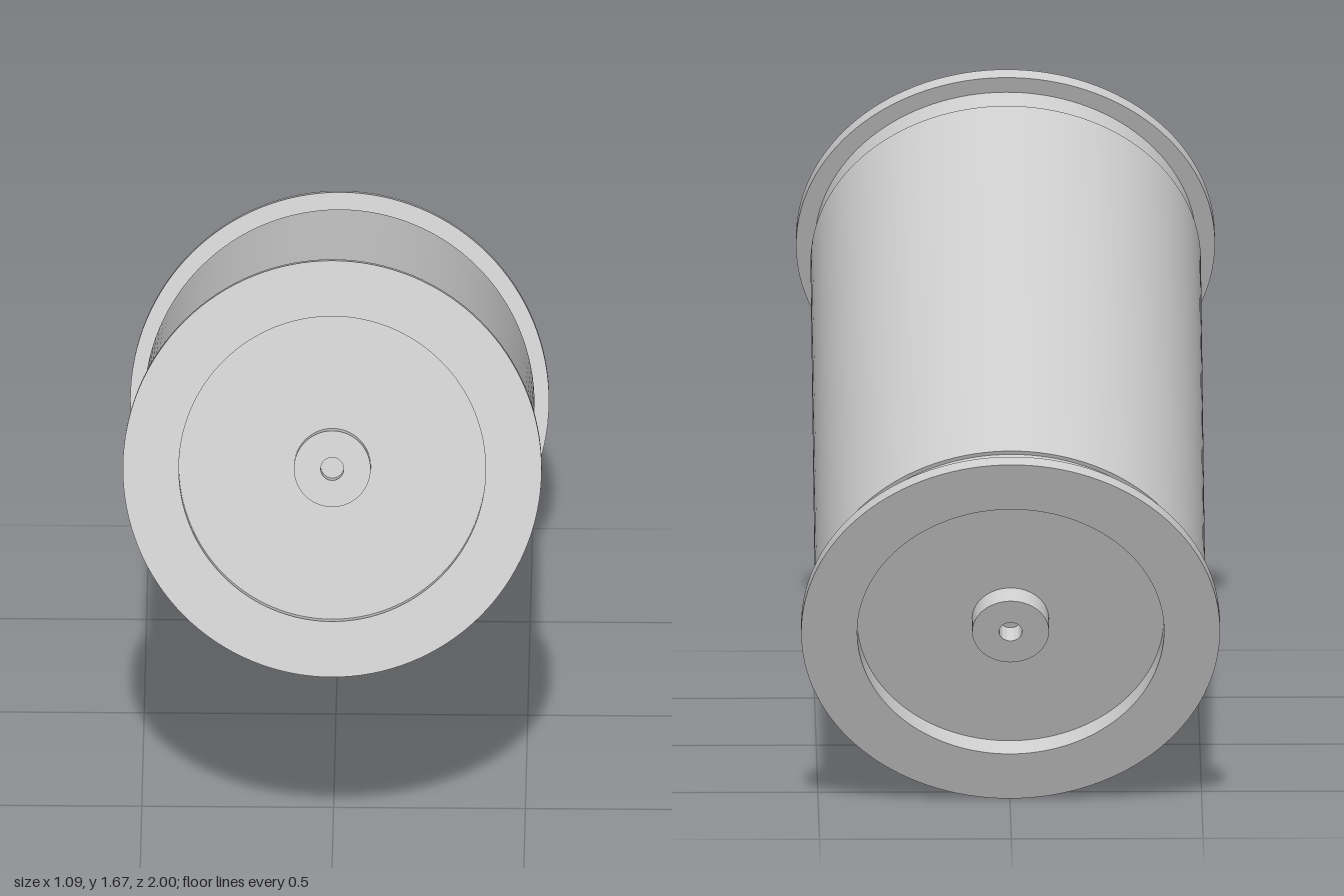
import * as THREE from 'three';
import { toCreasedNormals } from 'three/addons/utils/BufferGeometryUtils.js';

const grey = new THREE.MeshStandardMaterial({ color: 0xcccccc });
grey.name = 'light grey';

// Revolve [radius, height] pairs around y, keeping the edges sharp
function turned(name, profile) {
  const points = profile.map(([r, y]) => new THREE.Vector2(r, y));
  const geometry = toCreasedNormals(new THREE.LatheGeometry(points, 128), Math.PI / 6);
  const mesh = new THREE.Mesh(geometry, grey);
  mesh.name = name;
  return mesh;
}

export function createModel() {
  const half = 0.8525;          // half of the overall length
  const bodyHalf = 0.744;       // half of the drum length
  const flange = half - 0.035;  // inner side of the flange
  const floor = half - 0.057;   // bottom of the end recess
  const rCollar = 0.498, rBody = 0.509, rFlange = 0.546;

  const model = new THREE.Group();
  model.name = 'spool';

  // Drum, slightly wider than the collars beside it
  const spool = new THREE.Group();
  spool.name = 'tiltedSpool';
  spool.add(turned('drum', [
    [rCollar, -bodyHalf], [rBody, -bodyHalf], [rBody, bodyHalf], [rCollar, bodyHalf],
  ]));

  // Two identical ends: collar and flange with a recess, and a bored hub
  for (const end of ['front', 'back']) {
    const cap = new THREE.Group();
    cap.name = end + 'End';
    cap.add(turned(end + 'Flange', [
      [rCollar, bodyHalf], [rCollar, flange], [rFlange, flange], [rFlange, half],
      [0.4, half], [0.4, floor], [0, floor],
    ]));
    cap.add(turned(end + 'Hub', [
      [0.1, floor], [0.1, half], [0.03, half], [0.03, floor],
    ]));
    if (end === 'back') cap.rotation.x = Math.PI;
    spool.add(cap);
  }

  // Lean the axis so that the front end is raised
  spool.rotation.x = THREE.MathUtils.degToRad(67);
  spool.position.y = 0.836;
  model.add(spool);
  return model;
}
